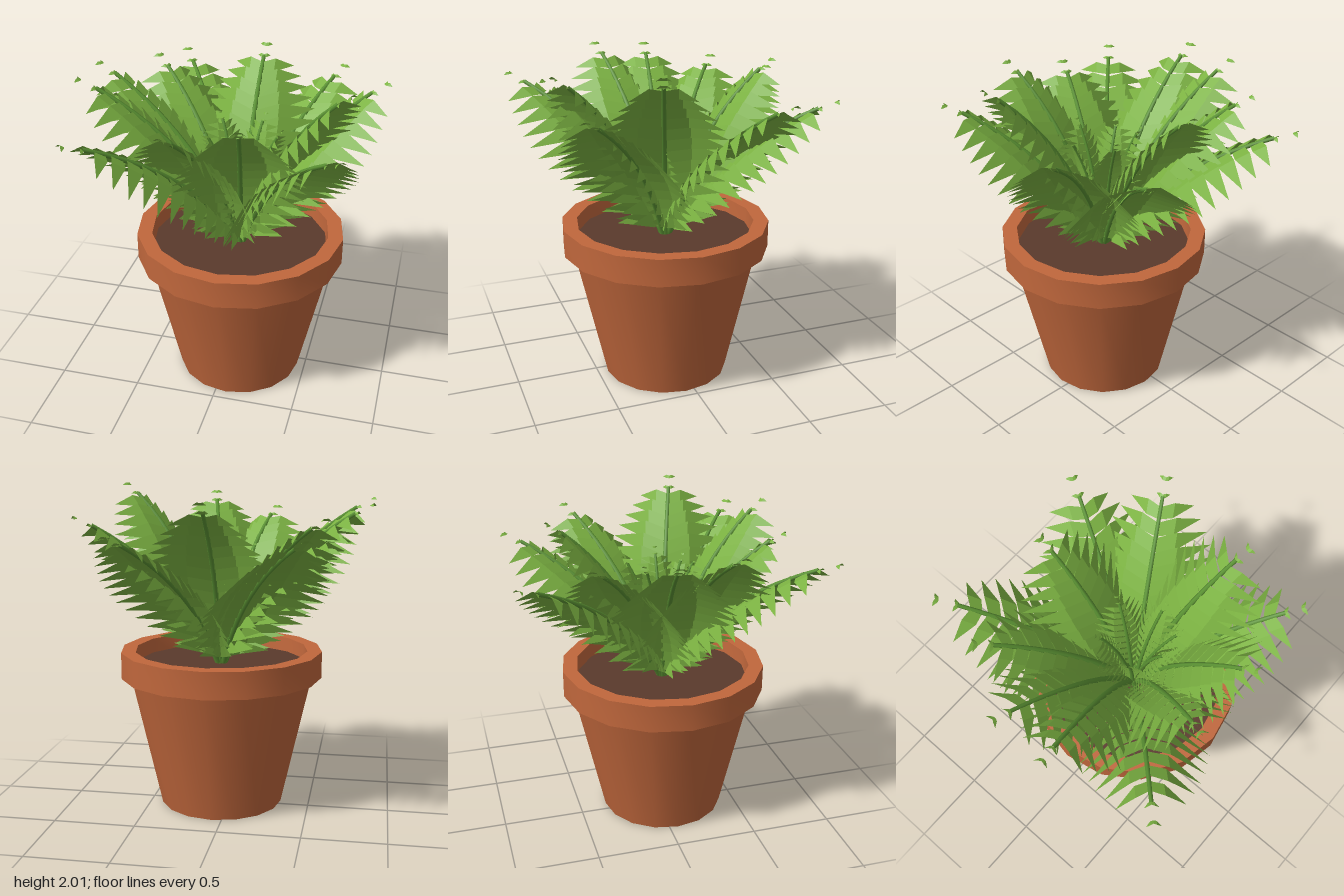
import * as THREE from 'three';
import { toCreasedNormals, mergeGeometries } from 'three/addons/utils/BufferGeometryUtils.js';

const CX = 0.065, CZ = 0.055, SOIL = 0.9, PAIRS = 14;

// Stem tips of the outer fronds: x, height, z
const OUTER = [
  [-0.47, 1.71, -0.78], [-0.53, 1.79, -0.44], [-0.75, 1.85, -0.10], [-0.75, 1.87, 0.20],
  [-0.62, 1.75, 0.74], [-0.17, 1.79, 0.64], [0.20, 1.88, 0.66], [0.65, 1.76, 0.62],
  [0.64, 1.94, 0.26], [0.76, 1.78, -0.34], [0.48, 1.71, -0.73], [0.06, 1.87, -0.55],
];

// Stem tips of the short, upright young fronds in the middle
const INNER = [
  [0.28, 1.62, 0.07], [0.23, 1.58, 0.22], [0.07, 1.62, 0.25],
  [-0.11, 1.6, 0.13], [-0.08, 1.63, -0.08], [0.15, 1.62, -0.14],
];

// Turned part from a [radius, height] profile, with sharp profile corners
function turned(name, profile, material) {
  const pts = profile.map(([r, y]) => new THREE.Vector2(r, y));
  const mesh = new THREE.Mesh(toCreasedNormals(new THREE.LatheGeometry(pts, 16), 0.5), material);
  mesh.name = name;
  mesh.position.set(CX, 0, CZ);
  return mesh;
}

// One pointed leaflet: wide and flat near the stem, then a long drooping tip
function leaflet(root, dir, along, down, length, width) {
  const at = (l, w, d) => root.clone().addScaledVector(dir, l * length)
    .addScaledVector(along, w * width).addScaledVector(down, d * length - 0.12 * w * width);
  const a = at(0, -0.42, 0), b = at(0, 0.42, 0);
  const c = at(0.42, 0.5, -0.12), d = at(0.42, -0.5, -0.12), tip = at(1, 0.1, 0.03);
  const geo = new THREE.BufferGeometry().setFromPoints([a, b, c, a, c, d, d, c, tip]);
  geo.computeVertexNormals();
  // face every leaflet upwards
  if (geo.attributes.normal.getY(0) < 0) {
    geo.setFromPoints([a, c, b, a, d, c, d, tip, c]);
    geo.computeVertexNormals();
  }
  return geo;
}

// Tapered stem swept along a curve
function stemGeometry(curve, radius) {
  const segments = 10, sides = 6;
  const geo = new THREE.TubeGeometry(curve, segments, radius, sides, false);
  const pos = geo.attributes.position, v = new THREE.Vector3();
  for (let i = 0; i <= segments; i++) {
    const centre = curve.getPointAt(i / segments);
    for (let j = 0; j <= sides; j++) {
      const k = i * (sides + 1) + j;
      v.fromBufferAttribute(pos, k).sub(centre).multiplyScalar(1 - 0.4 * i / segments).add(centre);
      pos.setXYZ(k, v.x, v.y, v.z);
    }
  }
  return geo;
}

function frond(name, [x, y, z], scale, stemMat, leafMat) {
  const group = new THREE.Group();
  group.name = name;
  const dx = x - CX, dz = z - CZ, reach = Math.hypot(dx, dz);
  const out = new THREE.Vector3(dx / reach, 0, dz / reach);
  const side = new THREE.Vector3(-out.z, 0, out.x);
  const base = new THREE.Vector3(CX, SOIL, CZ).addScaledVector(out, 0.02);
  const tip = new THREE.Vector3(x, y, z);
  const bend = new THREE.Vector3(CX + dx * 0.32, SOIL + (y - SOIL) * 0.65, CZ + dz * 0.32);
  const curve = new THREE.QuadraticBezierCurve3(base, bend, tip);

  const stem = new THREE.Mesh(stemGeometry(curve, 0.01 + 0.01 * scale), stemMat);
  stem.name = 'stem';

  // Leaflet pairs; the last, tiny pair sits just past the stem tip
  const leaves = [];
  for (let i = 1; i <= PAIRS; i++) {
    const t = i / (PAIRS - 1);
    const root = curve.getPoint(t);
    const along = bend.clone().sub(base).multiplyScalar(1 - t)
      .addScaledVector(tip.clone().sub(bend), t).normalize();
    const down = new THREE.Vector3().crossVectors(along, side).normalize();
    if (down.y > 0) down.negate();
    const atTip = t >= 0.99;
    const size = scale * (atTip ? 0.045 : 0.42 * Math.sin(Math.PI * (0.16 + 0.73 * t)));
    const width = atTip ? 0.025 * scale : 0.05 * scale + 0.17 * size;
    for (const s of [-1, 1]) {
      const dir = side.clone().multiplyScalar(s * 0.85)
        .addScaledVector(along, 0.3).addScaledVector(down, 0.36).normalize();
      leaves.push(leaflet(root, dir, along, down, size, width));
    }
  }
  const blades = new THREE.Mesh(mergeGeometries(leaves), leafMat);
  blades.name = 'leaflets';
  group.add(stem, blades);
  return group;
}

export function createModel() {
  const clay = new THREE.MeshStandardMaterial({ color: 0xc0673c });
  clay.name = 'terracotta';
  const earth = new THREE.MeshStandardMaterial({ color: 0x5a3a2c });
  earth.name = 'soil brown';
  const stemMat = new THREE.MeshStandardMaterial({ color: 0x5c9434 });
  stemMat.name = 'stem green';
  const leafMat = new THREE.MeshStandardMaterial({ color: 0x7cb342, side: THREE.DoubleSide });
  leafMat.name = 'leaf green';

  const model = new THREE.Group();
  model.name = 'pottedFern';
  // Pot body, collar and soil
  model.add(
    turned('potBody', [[0, 0], [0.385, 0], [0.57, 0.83]], clay),
    turned('potRim', [[0.53, 0.81], [0.565, 0.81], [0.63, 0.825], [0.63, 0.99],
      [0.54, 0.99], [0.53, 0.86]], clay),
    turned('soil', [[0.54, SOIL], [0, SOIL]], earth),
  );
  // Ring of large fronds around a tuft of young ones
  for (const tip of OUTER) model.add(frond('frond', tip, 1, stemMat, leafMat));
  for (const tip of INNER) model.add(frond('youngFrond', tip, 0.48, stemMat, leafMat));
  return model;
}
